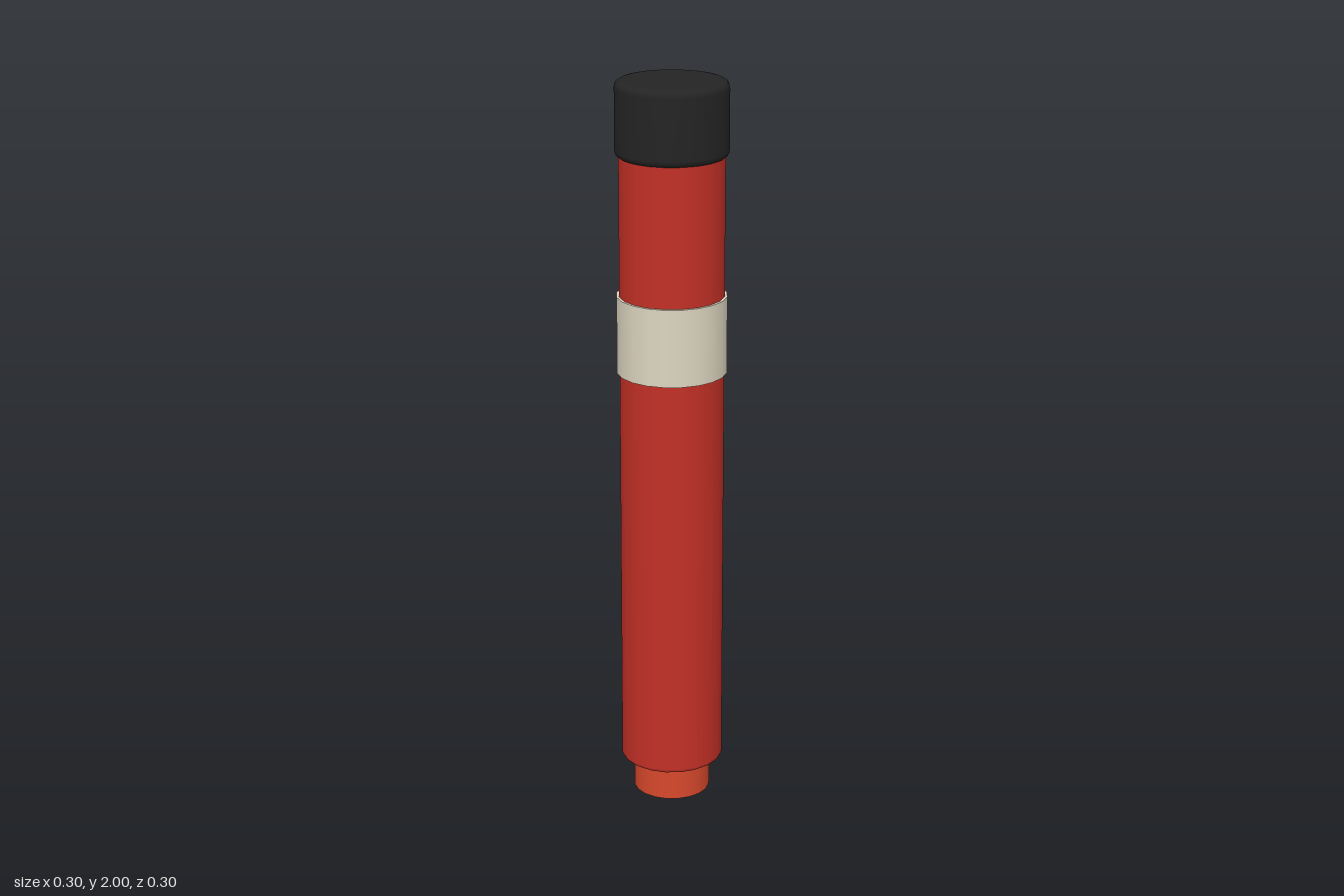
import * as THREE from 'three';

const SIDES = 20;

function material(name, color) {
  const m = new THREE.MeshStandardMaterial({ color });
  m.name = name;
  return m;
}

// Closed cylinder with softly rounded rims, standing from y0 to y1
function roundedCylinder(radius, y0, y1, rim) {
  const pts = [new THREE.Vector2(0, y0), new THREE.Vector2(radius - rim * 1.1, y0)];
  const steps = 4;
  for (let i = 0; i <= steps; i++) {
    const a = -Math.PI / 2 + (i / steps) * Math.PI / 2;
    pts.push(new THREE.Vector2(radius - rim + rim * Math.cos(a), y0 + rim + rim * Math.sin(a)));
  }
  for (let i = 0; i <= steps; i++) {
    const a = (i / steps) * Math.PI / 2;
    pts.push(new THREE.Vector2(radius - rim + rim * Math.cos(a), y1 - rim + rim * Math.sin(a)));
  }
  pts.push(new THREE.Vector2(radius - rim * 1.1, y1), new THREE.Vector2(0, y1));
  return new THREE.LatheGeometry(pts, SIDES);
}

function cylinder(radius, y0, y1) {
  return new THREE.CylinderGeometry(radius, radius, y1 - y0, SIDES).translate(0, (y0 + y1) / 2, 0);
}

export function createModel() {
  const group = new THREE.Group();
  group.name = 'flareStick';

  const add = (name, geometry, mat) => {
    const mesh = new THREE.Mesh(geometry, mat);
    mesh.name = name;
    group.add(mesh);
  };

  // Narrow plug at the foot
  add('basePlug', cylinder(0.105, 0, 0.1), material('orangeRed', 0xd8482c));
  // Long tube
  add('body', roundedCylinder(0.14, 0.095, 1.82, 0.012), material('red', 0xc23026));
  // Pale wrap-around label
  add('labelBand', cylinder(0.147, 1.22, 1.43), material('cream', 0xddd5c0));
  // Dark cap on top
  add('cap', roundedCylinder(0.15, 1.8, 2, 0.02), material('black', 0x242424));

  return group;
}
